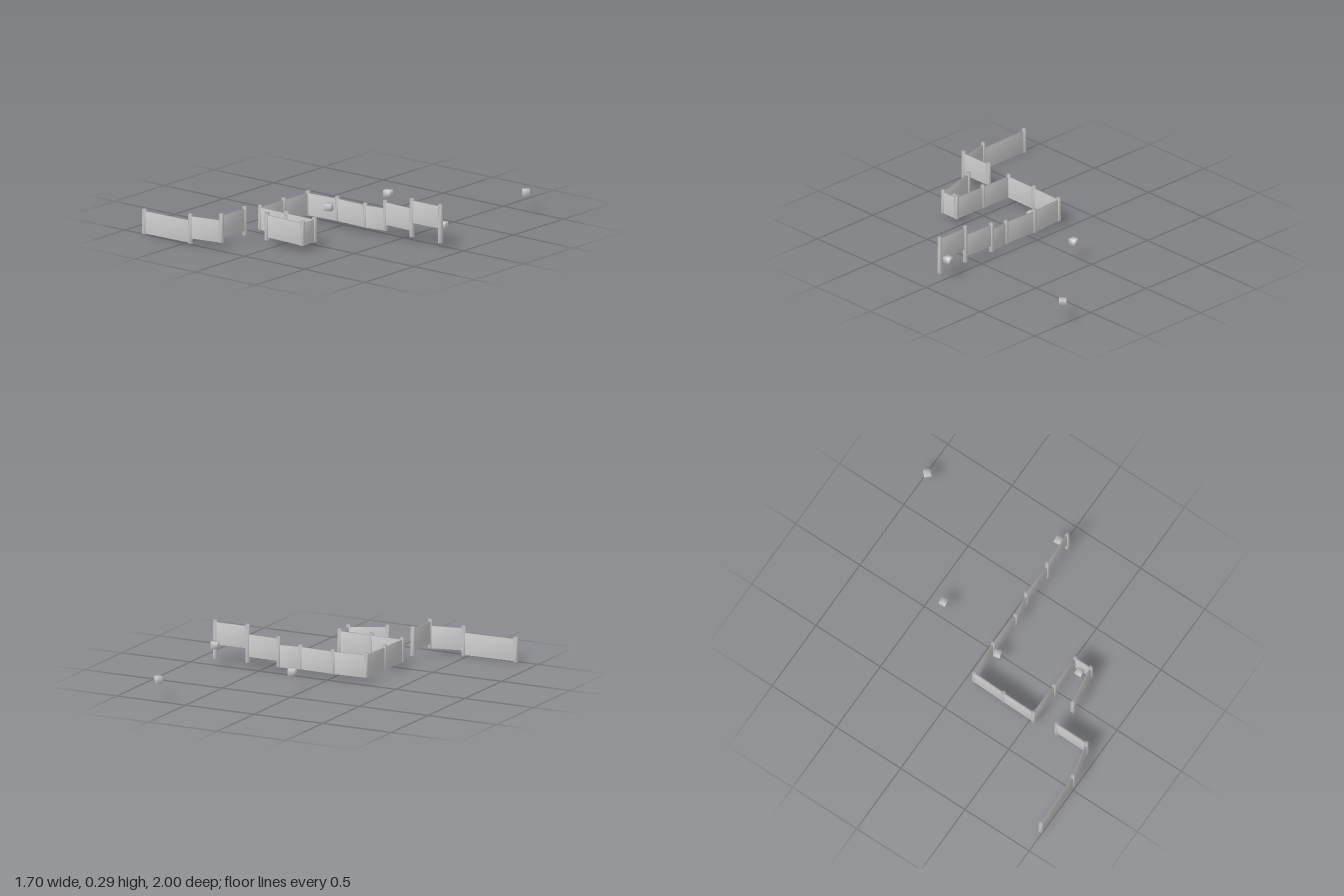
import * as THREE from 'three';
import { mergeVertices } from 'three/addons/utils/BufferGeometryUtils.js';

const POST = 0.022, PANEL = 0.013, PANEL_HEIGHT = 0.146, CUBE = 0.046;

// Box with shared corners, so the shading runs softly over its edges
function softBox(w, h, d) {
  const box = new THREE.BoxGeometry(w, h, d);
  box.deleteAttribute('normal');
  box.deleteAttribute('uv');
  const geometry = mergeVertices(box);
  geometry.computeVertexNormals();
  return geometry;
}

export function createModel() {
  const model = new THREE.Group();
  const material = new THREE.MeshStandardMaterial({ color: 0xcccccc });

  function add(name, geometry, x, y, z, turn = 0) {
    const mesh = new THREE.Mesh(geometry, material);
    mesh.name = name;
    mesh.position.set(x, y, z);
    mesh.rotation.y = turn;
    model.add(mesh);
  }

  // Post: x, z, bottom, top, then bottom of the next panel at its start and end
  const fences = [
    [
      [-0.845, 0.987, 0.0, 0.167, 0.005, 0.005],
      [-0.47, 0.979, 0.0, 0.198, 0.034, 0.034],
      [-0.25, 0.932, 0.034, 0.228, 0.064, 0.064],
      [-0.248, 0.7, 0.034, 0.228],
    ],
    [
      [-0.063, 0.7, 0.034, 0.218, 0.055, 0.034],
      [0.2, 0.659, 0.034, 0.198, 0.034, 0.034],
      [0.2, 0.538, 0.034, 0.198, 0.034, 0.034],
      [-0.032, 0.534, 0.034, 0.198, 0.034, 0.034],
      [-0.26, 0.529, 0.034, 0.198, 0.034, 0.034],
      [-0.257, 0.295, 0.034, 0.198, 0.034, 0.034],
      [-0.25, 0.061, 0.034, 0.198, 0.034, 0.034],
      [-0.016, 0.047, 0.034, 0.198, 0.034, 0.034],
      [0.226, 0.057, 0.034, 0.198, 0.034, 0.034],
      [0.376, 0.037, 0.034, 0.237, 0.075, 0.075],
      [0.605, 0.044, 0.034, 0.292, 0.129, 0.129],
      [0.838, 0.04, 0.034, 0.292],
    ],
  ];

  for (const posts of fences) {
    posts.forEach(([x, z, low, high, startY, endY], i) => {
      add('fencePost', softBox(POST, high - low, POST), x, (low + high) / 2, z);
      if (i === posts.length - 1) return;

      // Panel to the next post, sheared where its two ends differ in height
      const [x2, z2] = posts[i + 1];
      const length = Math.hypot(x2 - x, z2 - z);
      const geometry = softBox(length, PANEL_HEIGHT, PANEL);
      const p = geometry.attributes.position;
      for (let k = 0; k < p.count; k++) {
        p.setY(k, p.getY(k) + (p.getX(k) / length) * (endY - startY));
      }
      geometry.computeVertexNormals();
      add('fencePanel', geometry, (x + x2) / 2, (startY + endY + PANEL_HEIGHT) / 2,
        (z + z2) / 2, Math.atan2(z - z2, x2 - x));
    });
  }

  // Loose blocks: x, y, z, turn
  const blocks = [
    [0.717, 0.137, -0.967, Math.PI / 4],
    [0.05, 0.137, -0.385, 0.1],
    [0.815, 0.137, -0.012, 0.17],
    [-0.045, 0.131, 0.1, 0.28],
    [0.147, 0.135, 0.606, 0.07],
  ];
  for (const [x, y, z, turn] of blocks) add('block', softBox(CUBE, CUBE, CUBE), x, y, z, turn);

  return model;
}
